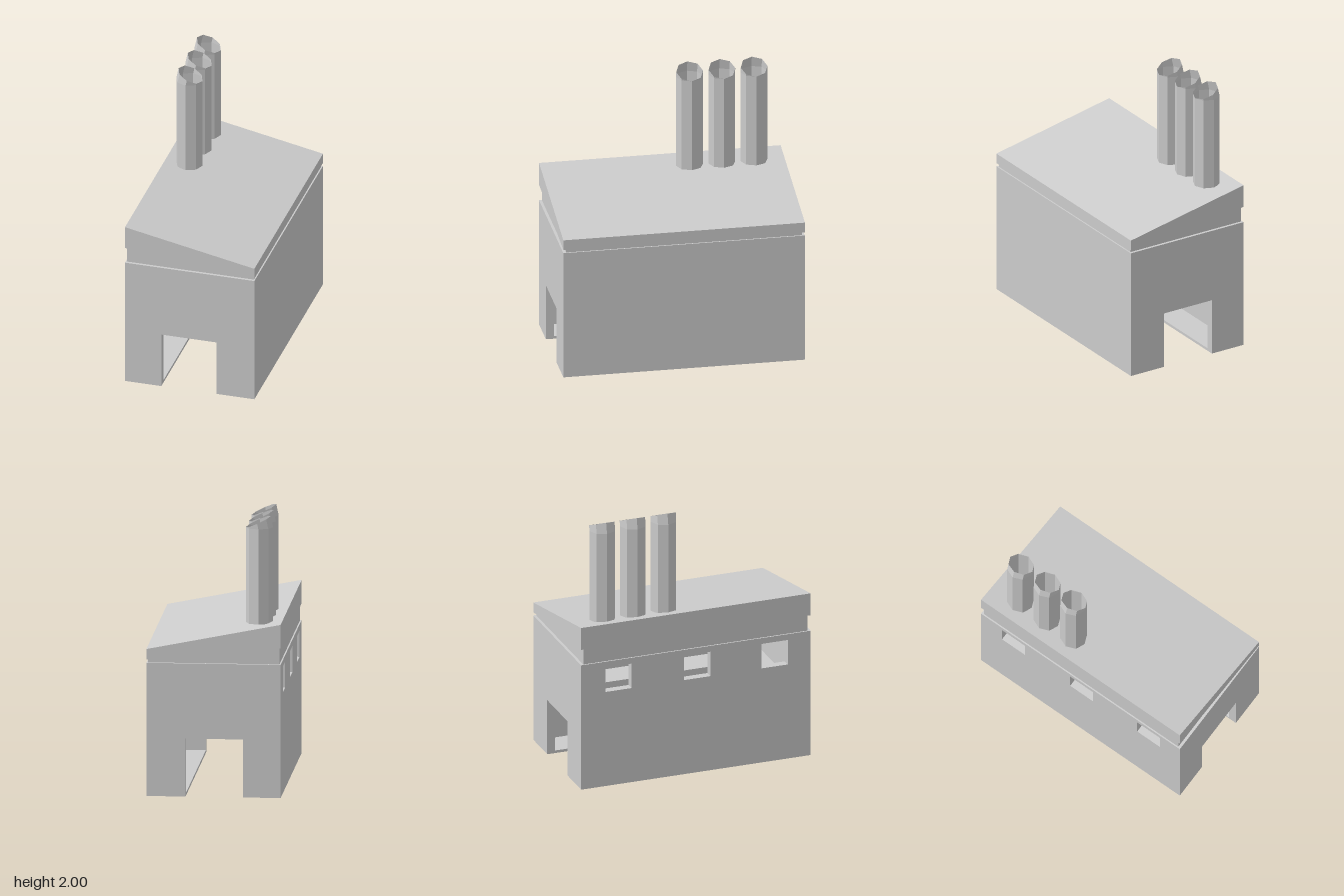
import * as THREE from 'three';

const W = 0.48, D = 0.875, T = 0.06;       // half width, half depth, wall thickness
const WALL_TOP = 0.965;
const GAP_L = -0.21, GAP_R = 0.2, GAP_TOP = 0.42; // passage opening

const rectPoints = (x0, y0, x1, y1) =>
  [[x0, y0], [x1, y0], [x1, y1], [x0, y1]].map(p => new THREE.Vector2(...p));

export function createModel() {
  const group = new THREE.Group();
  const concrete = new THREE.MeshStandardMaterial({ color: 0xcccccc });
  concrete.name = 'light grey';
  const shaft = new THREE.MeshStandardMaterial({ color: 0xcccccc, side: THREE.DoubleSide });
  shaft.name = 'light grey open tube';

  const add = (name, geometry, material = concrete) => {
    const mesh = new THREE.Mesh(geometry, material);
    mesh.name = name;
    group.add(mesh);
    return mesh;
  };
  const extrude = (points, depth, holes = []) => {
    const shape = new THREE.Shape(points);
    holes.forEach(h => shape.holes.push(new THREE.Path(h)));
    return new THREE.ExtrudeGeometry(shape, { depth, bevelEnabled: false });
  };
  const box = (name, x0, x1, y0, y1, z0, z1) =>
    add(name, new THREE.BoxGeometry(x1 - x0, y1 - y0, z1 - z0))
      .position.set((x0 + x1) / 2, (y0 + y1) / 2, (z0 + z1) / 2);

  // End walls with the passage opening
  const endWall = [
    [-W, 0], [GAP_L, 0], [GAP_L, GAP_TOP], [GAP_R, GAP_TOP],
    [GAP_R, 0], [W, 0], [W, WALL_TOP], [-W, WALL_TOP],
  ].map(p => new THREE.Vector2(...p));
  add('frontWall', extrude(endWall, T)).position.z = D - T;
  add('backWall', extrude(endWall, T)).position.z = -D;

  // Side walls: plain on the left, three square windows on the right
  box('leftWall', W - T, W, 0, WALL_TOP, -D + T, D - T);
  const windows = [-0.59, 0.01, 0.6].map(z => rectPoints(z - 0.1, 0.73, z + 0.1, 0.92));
  const sideWall = extrude(rectPoints(-D + T, 0, D - T, WALL_TOP), T, windows);
  sideWall.rotateY(-Math.PI / 2);
  add('rightWall', sideWall).position.x = -W + T;

  // Thin floors either side of the passage
  box('rightFloor', -W + T, GAP_L, 0, 0.02, -D + T, D - T);
  box('leftFloor', GAP_R, W - T, 0, 0.02, -D + T, D - T);

  // Upper floor with an opening above the passage
  const upperFloor = extrude(rectPoints(-W + T, -D + T, W - T, D - T), 0.04,
    [rectPoints(GAP_L, -0.72, GAP_R, 0.52)]);
  upperFloor.rotateX(-Math.PI / 2);
  add('upperFloor', upperFloor).position.y = 0.45;

  // Recessed neck and sloping roof slab
  const neck = [[-0.47, WALL_TOP], [0.47, WALL_TOP], [0.47, 0.991], [-0.47, 1.084]];
  const roof = [[-W, 1.085], [W, 0.99], [W, 1.065], [-W, 1.255]];
  const slab = (name, pts, half) =>
    add(name, extrude(pts.map(p => new THREE.Vector2(...p)), half * 2)).position.z = -half;
  slab('roofNeck', neck, D - 0.02);
  slab('roof', roof, D);

  // Octagonal chimneys: straight tube, then a rim tilted about its lower edge
  const R = 0.097, BASE = 1.23, SHOULDER = 1.92, TILT = 0.425;
  let tube = new THREE.CylinderGeometry(R, R, 2, 8, 2, true);
  const pos = tube.attributes.position;
  for (let i = 0; i < pos.count; i++) {
    const x = pos.getX(i), y = pos.getY(i);
    if (y > 0.5) {
      pos.setX(i, R - (R - x) * Math.cos(TILT));
      pos.setY(i, SHOULDER + (R - x) * Math.sin(TILT));
    } else {
      pos.setY(i, y < -0.5 ? BASE : SHOULDER);
    }
  }
  tube = tube.toNonIndexed();
  tube.computeVertexNormals();
  [-0.183, -0.417, -0.65].forEach((z, i) =>
    add('chimney' + (i + 1), tube, shaft).position.set(-0.31, 0, z));

  return group;
}
